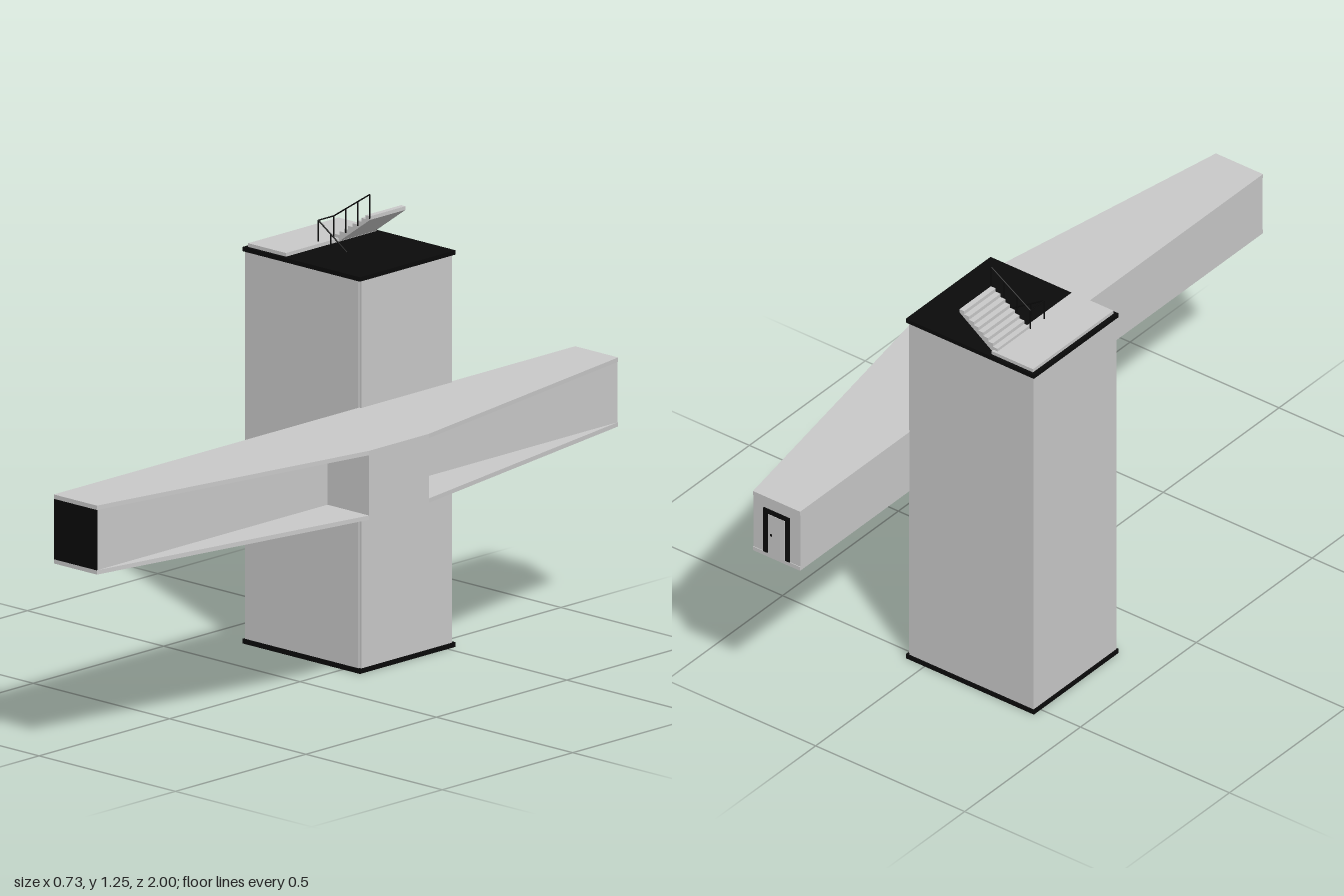
import * as THREE from 'three';

export function createModel() {
  const model = new THREE.Group();
  const concrete = new THREE.MeshStandardMaterial({ name: 'concreteGrey', color: 0xc9c9c9 });
  const black = new THREE.MeshStandardMaterial({ name: 'black', color: 0x0a0a0a });

  const add = (parent, name, geometry, material) => {
    const mesh = new THREE.Mesh(geometry, material);
    mesh.name = name;
    parent.add(mesh);
    return mesh;
  };
  const group = (name) => {
    const g = new THREE.Group();
    g.name = name;
    model.add(g);
    return g;
  };
  // Box given by its extents on each axis
  const box = (parent, name, material, [x0, x1], [y0, y1], [z0, z1]) => {
    const mesh = add(parent, name, new THREE.BoxGeometry(x1 - x0, y1 - y0, z1 - z0), material);
    mesh.position.set((x0 + x1) / 2, (y0 + y1) / 2, (z0 + z1) / 2);
    return mesh;
  };
  // Thin round bar between two points
  const bar = (parent, name, a, b) => {
    const from = new THREE.Vector3(...a), to = new THREE.Vector3(...b);
    const dir = to.clone().sub(from);
    const mesh = add(parent, name, new THREE.CylinderGeometry(0.002, 0.002, dir.length(), 6), black);
    mesh.position.copy(from).add(to).multiplyScalar(0.5);
    mesh.quaternion.setFromUnitVectors(new THREE.Vector3(0, 1, 0), dir.normalize());
  };

  // Tower: shaft, side cladding, base and roof slabs
  const tower = group('tower');
  box(tower, 'shaft', concrete, [-0.363, 0.053], [0.012, 1.08], [-0.526, -0.168]);
  box(tower, 'sideCladding', concrete, [0.053, 0.06], [0.012, 1.08], [-0.52, -0.172]);
  box(tower, 'baseSlab', black, [-0.367, 0.063], [0, 0.013], [-0.53, -0.164]);
  box(tower, 'roofSlab', black, [-0.367, 0.063], [1.08, 1.092], [-0.53, -0.164]);
  box(tower, 'roofLanding', concrete, [-0.357, -0.218], [1.092, 1.102], [-0.521, -0.174]);

  // Stair flight on the roof
  const stairs = group('roofStairs');
  const steps = 8, x0 = -0.232, y0 = 1.1, run = 0.128 / steps, rise = 0.084 / steps;
  const profile = new THREE.Shape();
  profile.moveTo(x0, y0 - 0.006);
  for (let i = 0; i < steps; i++) {
    profile.lineTo(x0 + i * run, y0 + (i + 1) * rise);
    profile.lineTo(x0 + (i + 1) * run, y0 + (i + 1) * rise);
  }
  profile.lineTo(x0 + steps * run, y0 + steps * rise - 0.01);
  profile.lineTo(x0 + run, y0 - 0.006);
  const flight = add(stairs, 'stairFlight',
    new THREE.ExtrudeGeometry(profile, { depth: 0.136, bevelEnabled: false }), concrete);
  flight.position.z = -0.513;

  // Railing: climbs beside the flight, crosses, then descends
  const railing = group('railing');
  const zUp = -0.375, zDown = -0.316;
  bar(railing, 'upperHandrail', [-0.235, 1.16, zUp], [-0.104, 1.244, zUp]);
  bar(railing, 'crossRail', [-0.235, 1.16, zUp], [-0.235, 1.16, zDown]);
  bar(railing, 'lowerHandrail', [-0.235, 1.16, zDown], [-0.13, 1.092, zDown]);
  for (let i = 0; i < 4; i++) {
    const x = -0.235 + i * 0.0437;
    bar(railing, 'upperPost', [x, 1.094 + i * 0.028, zUp], [x, 1.16 + i * 0.028, zUp]);
  }
  for (const x of [-0.235, -0.19]) {
    bar(railing, 'lowerPost', [x, 1.09, zDown], [x, 1.16 - (x + 0.235) * 0.648, zDown]);
  }

  // Bridge: straight corridor between two tapered plates, with a central bay
  const bridge = group('bridge');
  const bottom = 0.54, top = 0.73, plate = 0.012;
  const plan = new THREE.Shape([
    [0.053, -0.999], [0.211, -0.999], [0.363, -0.115],
    [0.363, 0.115], [0.211, 0.999], [0.053, 0.999],
  ].map(([x, z]) => new THREE.Vector2(x, z)));
  for (const [name, y] of [['floorPlate', bottom], ['roofPlate', top - plate]]) {
    const g = new THREE.ExtrudeGeometry(plan, { depth: plate, bevelEnabled: false });
    g.rotateX(-Math.PI / 2);
    add(bridge, name, g, concrete).position.y = y;
  }
  const inner = [bottom + plate, top - plate];
  box(bridge, 'corridor', concrete, [0.053, 0.211], inner, [-0.997, 0.997]);
  box(bridge, 'centralBay', concrete, [0.211, 0.363], inner, [-0.115, 0.115]);
  box(bridge, 'frontWindow', black, [0.055, 0.211], inner, [0.996, 1]);

  // Door at the back end
  const door = group('backDoor');
  const yDoor = [bottom + plate, 0.693], zDoor = [-1, -0.994];
  box(door, 'doorJamb', black, [0.088, 0.102], yDoor, zDoor);
  box(door, 'doorJamb', black, [0.162, 0.176], yDoor, zDoor);
  box(door, 'doorLintel', black, [0.102, 0.162], [0.679, 0.693], zDoor);
  box(door, 'doorLeaf', concrete, [0.105, 0.159], [bottom + plate, 0.677], [-0.999, -0.995]);
  box(door, 'doorHandle', black, [0.147, 0.153], [0.61, 0.617], zDoor);

  return model;
}
